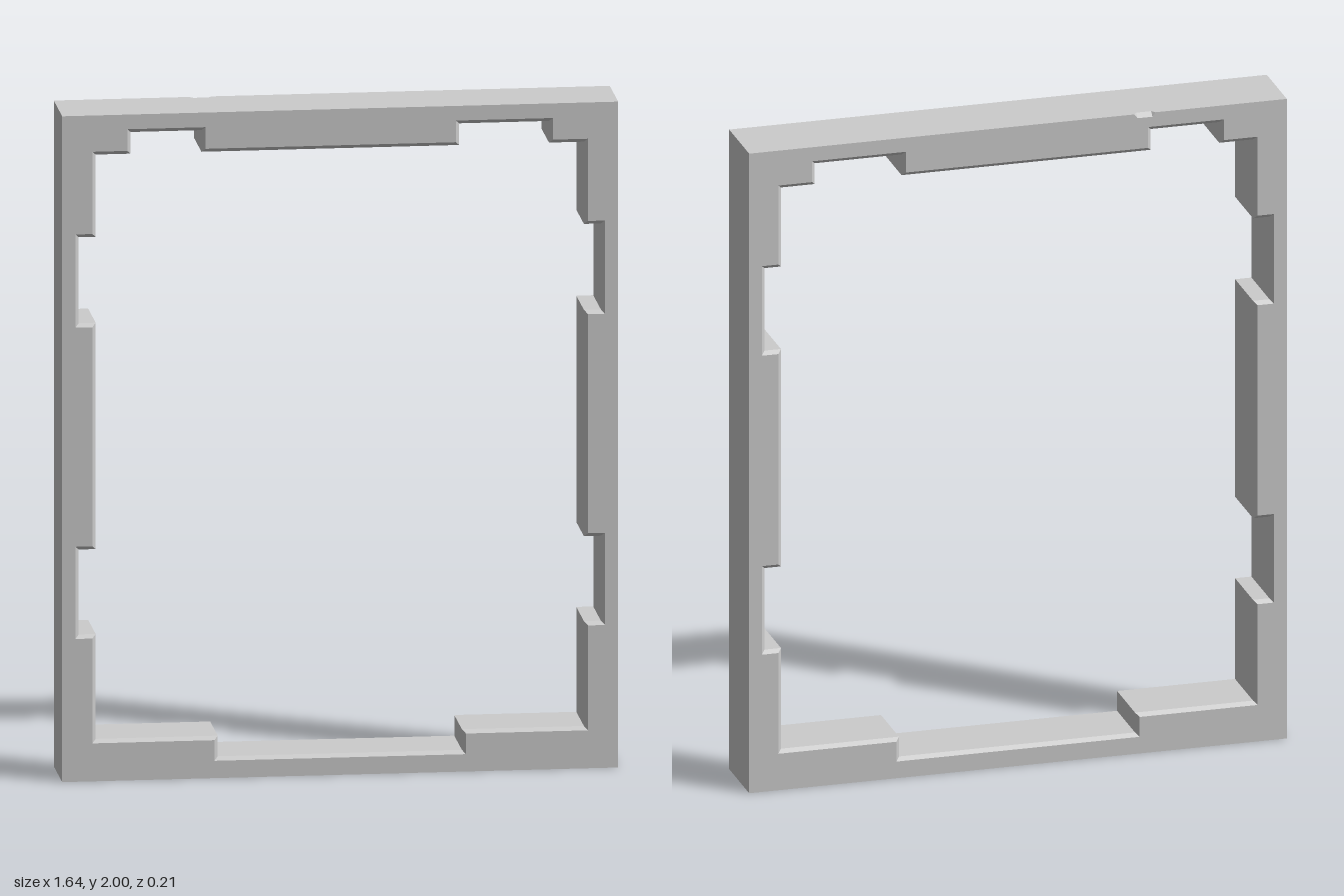
import * as THREE from 'three';

const W = 0.82, H = 2, D = 0.105;   // half width, height, half depth
const C = 0.011;                    // chamfer round the opening

// Right half of the sides of the opening, bottom to top
const side = [[0.72, 0.125], [0.72, 0.44], [0.77, 0.44], [0.77, 0.695], [0.72, 0.695],
  [0.72, 1.375], [0.77, 1.375], [0.77, 1.633], [0.72, 1.633], [0.72, 1.88]];
const mirror = (pts) => pts.map(([x, y]) => [-x, y]).reverse();

// Opening, counter-clockwise: bottom recess, right side, top recesses, left side
const opening = [
  [-0.36, 0.063], [0.36, 0.063], [0.36, 0.125], ...side,
  [0.617, 1.88], [0.617, 1.945], [0.352, 1.945], [0.352, 1.88],
  [-0.408, 1.88], [-0.408, 1.945], [-0.617, 1.945], [-0.617, 1.88],
  ...mirror(side), [-0.36, 0.125],
];

// Grow a right-angled counter-clockwise outline by c
function grow(pts, c) {
  const n = pts.length;
  const normal = (a, b) => [Math.sign(b[1] - a[1]), -Math.sign(b[0] - a[0])];
  return pts.map((p, i) => {
    const u = normal(pts[(i + n - 1) % n], p), v = normal(p, pts[(i + 1) % n]);
    return [p[0] + c * (u[0] + v[0]), p[1] + c * (u[1] + v[1])];
  });
}

const ring = (pts, z) => pts.map(([x, y]) => [x, y, z]);

// Flat-sided surface from a list of quads and triangles
function faces(list) {
  const pos = [];
  for (const [a, b, c, d] of list) {
    pos.push(...a, ...b, ...c);
    if (d) pos.push(...a, ...c, ...d);
  }
  const g = new THREE.BufferGeometry();
  g.setAttribute('position', new THREE.Float32BufferAttribute(pos, 3));
  g.computeVertexNormals();
  return g;
}

// Inward-facing band between two rings
const band = (f, b) => f.map((p, i) => {
  const j = (i + 1) % f.length;
  return [p, f[j], b[j], b[i]];
});

function flat(outline, hole) {
  const toV = (pts) => pts.map(([x, y]) => new THREE.Vector2(x, y));
  const s = new THREE.Shape(toV(outline));
  if (hole) s.holes.push(new THREE.Path(toV(hole)));
  return new THREE.ShapeGeometry(s);
}

export function createModel() {
  const group = new THREE.Group();
  group.name = 'frame';
  const mat = new THREE.MeshStandardMaterial({ color: 0xcccccc });
  const add = (name, geo) => {
    const m = new THREE.Mesh(geo, mat);
    m.name = name;
    group.add(m);
  };

  const rim = grow(opening, C);

  // Front face
  add('frontFace', flat([[-W, 0], [W, 0], [W, H], [-W, H]], rim).translate(0, 0, D));

  // Small pry notch in the top back edge
  const x0 = -0.42, x1 = -0.41, x2 = -0.365, x3 = -0.355, cut = 0.013;
  const e0 = [x0, H, -D], e1 = [x3, H, -D];
  const t0 = [x1, H, -D + cut], t1 = [x2, H, -D + cut];
  const b0 = [x1, H - cut, -D], b1 = [x2, H - cut, -D];
  add('pryNotch', faces([[t0, t1, b1, b0], [e0, t0, b0], [e1, b1, t1]]));

  // Back face, drawn mirrored and then turned round
  const back = [[-W, 0], [W, 0], [W, H], [x3, H], [x2, H - cut], [x1, H - cut], [x0, H], [-W, H]];
  add('backFace', flat(mirror(back), mirror(rim)).rotateY(Math.PI).translate(0, 0, -D));

  // Top face with the notch cut out
  const top = [[-W, -D], [W, -D], [W, D], [x3, D], [x2, D - cut], [x1, D - cut], [x0, D], [-W, D]];
  add('topFace', flat(top).rotateX(-Math.PI / 2).translate(0, H, 0));

  // Outer sides and underside
  const f = ring([[-W, H], [-W, 0], [W, 0], [W, H]], D);
  const b = f.map(([x, y]) => [x, y, -D]);
  add('outerSides', faces([0, 1, 2].map((i) => [f[i], b[i], b[i + 1], f[i + 1]])));

  // Walls of the opening, chamfered front and back
  const rings = [ring(rim, D), ring(opening, D - C), ring(opening, C - D), ring(rim, -D)];
  ['frontChamfer', 'openingWalls', 'backChamfer'].forEach((name, i) =>
    add(name, faces(band(rings[i], rings[i + 1]))));

  return group;
}
